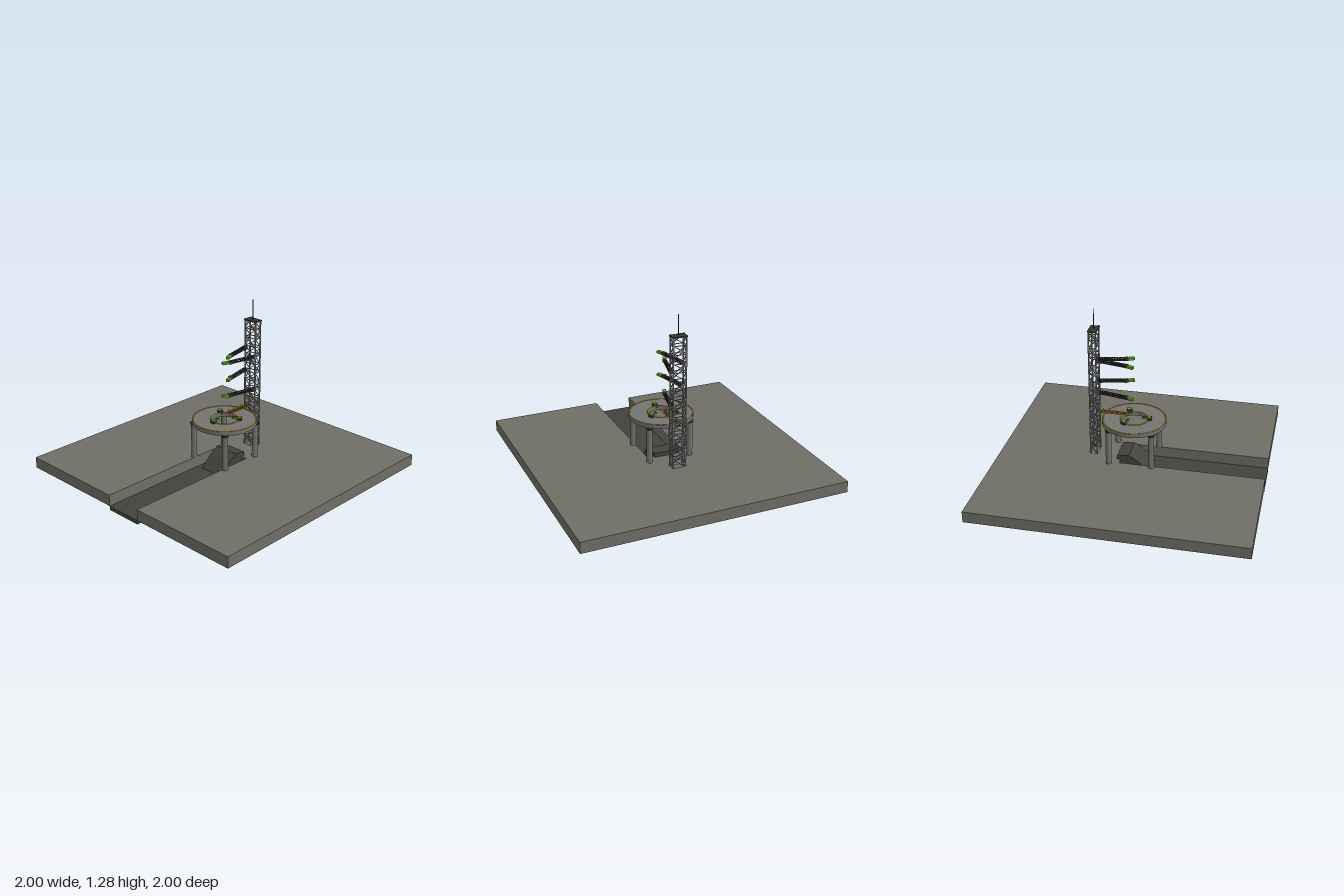
import * as THREE from 'three';
import { mergeGeometries } from 'three/addons/utils/BufferGeometryUtils.js';

const mat = (name, color) => Object.assign(new THREE.MeshStandardMaterial({ color }), { name });
const V = (x, y, z) => new THREE.Vector3(x, y, z);

// Box given by its limits
function box(x0, x1, y0, y1, z0, z1) {
  return new THREE.BoxGeometry(x1 - x0, y1 - y0, z1 - z0)
    .translate((x0 + x1) / 2, (y0 + y1) / 2, (z0 + z1) / 2);
}

// Square bar between two points
function bar(a, b, t) {
  const d = b.clone().sub(a);
  const q = new THREE.Quaternion().setFromUnitVectors(V(0, 1, 0), d.clone().normalize());
  return new THREE.BoxGeometry(t, d.length(), t).applyQuaternion(q)
    .translate((a.x + b.x) / 2, (a.y + b.y) / 2, (a.z + b.z) / 2);
}

// Lattice between successive four-cornered frames
function lattice(frames, chord, brace) {
  const out = [];
  const last = frames.length - 1;
  for (let k = 0; k < 4; k++) {
    const n = (k + 1) % 4;
    out.push(bar(frames[0][k], frames[last][k], chord));
    frames.forEach((f, i) => {
      out.push(bar(f[k], f[n], brace));
      if (i < last) {
        out.push(i % 2 ? bar(f[k], frames[i + 1][n], brace) : bar(f[n], frames[i + 1][k], brace));
      }
    });
  }
  return mergeGeometries(out);
}

export function createModel() {
  const concrete = mat('concrete', 0x6f6f66);
  const darkConcrete = mat('dark concrete', 0x43433c);
  const tableGrey = mat('table grey', 0x747471);
  const steel = mat('steel', 0x85858a);
  const darkSteel = mat('dark steel', 0x353533);
  const green = mat('green', 0x63a11c);
  const amber = mat('amber', 0xd0941a);

  const root = new THREE.Group();
  root.name = 'launchPad';
  const add = (name, geo, material, parent = root) => {
    const m = new THREE.Mesh(geo, material);
    m.name = name;
    parent.add(m);
    return m;
  };

  // Ground slab with the open trench
  const slab = new THREE.Shape([
    [-1, -1], [1, -1], [1, 1], [-1, 1], [-1, 0.145], [0.085, 0.145], [0.085, -0.145], [-1, -0.145],
  ].map(([x, y]) => new THREE.Vector2(x, y)));
  add('groundSlab', new THREE.ExtrudeGeometry(slab, { depth: 0.085, bevelEnabled: false })
    .rotateX(-Math.PI / 2).translate(0, 0.03, 0), concrete);
  add('trenchFloor', box(-1, 0.085, 0, 0.03, -0.145, 0.145), darkConcrete);

  // Flame deflector wedge
  const wedge = new THREE.Shape([
    [-0.14, 0.03], [0.084, 0.03], [0.084, 0.116], [0.11, 0.116], [0.11, 0.147], [0.02, 0.158], [-0.05, 0.115],
  ].map(([x, y]) => new THREE.Vector2(x, y)));
  add('flameDeflector', new THREE.ExtrudeGeometry(wedge, { depth: 0.2, bevelEnabled: false })
    .translate(0, 0, -0.1), darkConcrete);

  // Ring table, painted rims and columns
  const disc = new THREE.Shape().absarc(0, 0, 0.24, 0, Math.PI * 2);
  disc.holes.push(new THREE.Path().absarc(0, 0, 0.1, 0, Math.PI * 2, true));
  add('launchTable', new THREE.ExtrudeGeometry(disc, { depth: 0.03, bevelEnabled: false, curveSegments: 40 })
    .rotateX(-Math.PI / 2).translate(0, 0.394, 0), tableGrey);
  for (const [name, r] of [['outerRim', 0.234], ['innerRim', 0.104]]) {
    add(name, new THREE.TorusGeometry(r, 0.0045, 6, 64).rotateX(Math.PI / 2).translate(0, 0.4235, 0), amber);
  }
  for (const x of [-0.16, 0.16]) {
    for (const z of [-0.16, 0.16]) {
      add('column', new THREE.CylinderGeometry(0.022, 0.022, 0.28, 20).translate(x, 0.255, z), tableGrey);
      add('columnCap', new THREE.CylinderGeometry(0.028, 0.024, 0.018, 20).translate(x, 0.386, z), darkSteel);
    }
  }

  // Three hold-down clamps on the table
  for (let i = 0; i < 3; i++) {
    const clamp = new THREE.Group();
    clamp.name = 'holdDownClamp';
    add('clampBase', box(-0.13, -0.1, 0.424, 0.444, -0.017, 0.017), darkSteel, clamp);
    add('clampCover', box(-0.13, -0.1, 0.444, 0.449, -0.017, 0.017), green, clamp);
    add('clampArm', box(-0.105, -0.06, 0.43, 0.444, -0.007, 0.007), green, clamp);
    add('clampArmPlate', box(-0.1, -0.06, 0.444, 0.446, -0.006, 0.006), darkSteel, clamp);
    clamp.rotation.y = i * Math.PI * 2 / 3;
    root.add(clamp);
  }

  // Lattice tower, cap and mast
  const levels = [];
  for (let i = 0; i <= 15; i++) {
    const y = 0.115 + i * 0.067;
    levels.push([V(0.274, y, -0.05), V(0.274, y, 0.05), V(0.326, y, 0.05), V(0.326, y, -0.05)]);
  }
  add('towerLattice', lattice(levels, 0.009, 0.005), steel);
  add('towerCap', box(0.266, 0.333, 1.114, 1.123, -0.057, 0.057), darkSteel);
  for (const z of [-0.05, 0.05]) add('capLight', box(0.27, 0.278, 1.123, 1.128, z - 0.004, z + 0.004), amber);
  add('mast', new THREE.CylinderGeometry(0.0025, 0.004, 0.155, 8).translate(0.297, 1.198, 0), darkSteel);

  // Swing arms, hinged on alternate sides of the tower
  [0.905, 0.85, 0.73, 0.592].forEach((y, i) => {
    const s = i % 2 ? -1 : 1;
    const arm = new THREE.Group();
    arm.name = 'swingArm';
    const frames = [];
    for (let k = 0; k <= 7; k++) {
      const t = k / 7, x = 0.255 - 0.2 * t, z = -0.04 + 0.045 * t, h = 0.009, w = 0.011 - 0.003 * t;
      frames.push([V(x, y - h, z - w), V(x, y - h, z + w), V(x, y + h, z + w), V(x, y + h, z - w)]
        .map((p) => V(p.x, p.y, p.z * s)));
    }
    add('armLattice', lattice(frames, 0.005, 0.0035), darkSteel, arm);
    add('armHinge', box(0.25, 0.276, y - 0.012, y + 0.012, s * -0.04 - 0.01, s * -0.04 + 0.01), darkSteel, arm);
    add('hingePlatform', box(0.25, 0.276, y - 0.016, y - 0.012, s * -0.04 - 0.014, s * -0.04 + 0.014), amber, arm);
    const head = new THREE.Group();
    head.name = 'armHead';
    add('headBlock', box(-0.005, 0.022, -0.011, 0.011, -0.014, 0.014), darkSteel, head);
    add('headGrip', box(-0.052, -0.005, -0.009, 0.009, -0.013, 0.013), green, head);
    head.position.set(0.052, y, s * 0.006);
    head.rotation.y = s * 0.4;
    arm.add(head);
    root.add(arm);
  });

  // Access walkway from the tower to the table
  const walk = new THREE.Group();
  walk.name = 'accessWalkway';
  const rails = [];
  for (const z of [-0.018, 0.018]) {
    rails.push(bar(V(0.04, 0.456, z), V(0.272, 0.456, z), 0.006));
    for (let x = 0.06; x < 0.27; x += 0.045) rails.push(bar(V(x, 0.456, z), V(x, 0.474, z), 0.002));
  }
  for (let i = 0; i < 10; i++) {
    const x = 0.04 + i * 0.023, s = i % 2 ? -1 : 1;
    rails.push(bar(V(x, 0.456, -0.018 * s), V(x + 0.023, 0.456, 0.018 * s), 0.004));
  }
  add('walkwayFrame', mergeGeometries(rails), amber, walk);
  add('walkwayDeck', box(0.045, 0.272, 0.451, 0.454, -0.016, 0.016), darkSteel, walk);
  root.add(walk);

  return root;
}
